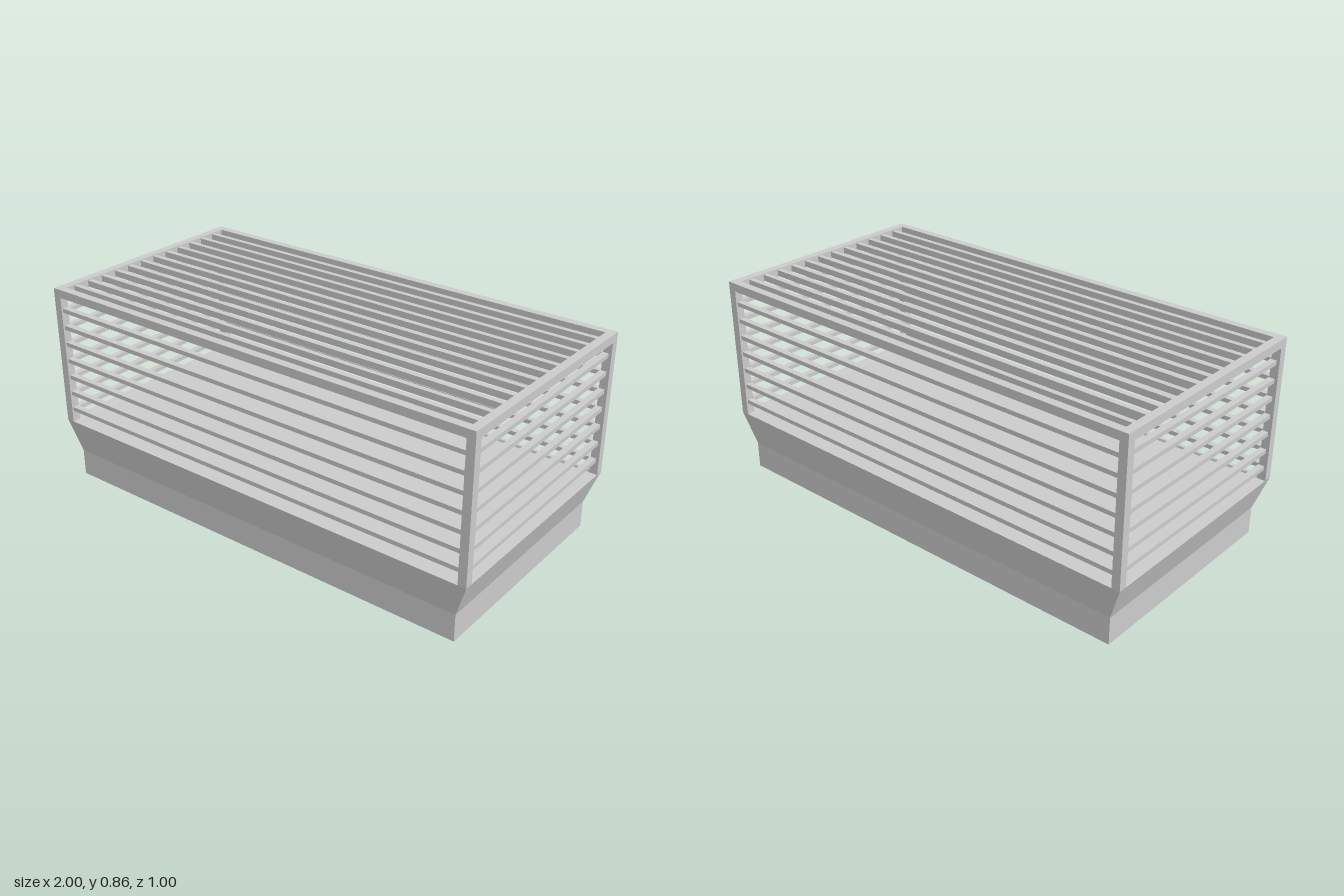
import * as THREE from 'three';

export function createModel() {
  const group = new THREE.Group();
  const material = new THREE.MeshStandardMaterial({ color: 0xcccccc, flatShading: true });

  function add(name, geometry, x = 0, y = 0, z = 0) {
    const mesh = new THREE.Mesh(geometry, material);
    mesh.name = name;
    mesh.position.set(x, y, z);
    group.add(mesh);
    return mesh;
  }
  const box = (name, w, h, d, x, y, z) => add(name, new THREE.BoxGeometry(w, h, d), x, y, z);

  // Tray: four-sided stepped profile with flared rim and shallow filled floor
  const profile = [[0, 0], [0.95, 0], [0.95, 0.115], [1, 0.26], [0.97, 0.26], [0.965, 0.25], [0, 0.25]]
    .map(([r, y]) => new THREE.Vector2(r * Math.SQRT2, y));
  const tray = new THREE.LatheGeometry(profile, 4, Math.PI / 4);
  tray.scale(1, 1, 0.5);
  add('tray', tray);

  // Cage frame: corner posts and top rails
  const bar = 0.035, rim = 0.26, top = 0.86;
  for (const sx of [-1, 1]) {
    for (const sz of [-1, 1]) {
      box('cornerPost', bar, top - bar - rim, bar,
        sx * (1 - bar / 2), (top - bar + rim) / 2, sz * (0.5 - bar / 2));
    }
    box('sideTopRail', bar, bar, 1, sx * (1 - bar / 2), top - bar / 2, 0);
  }
  for (const sz of [-1, 1]) {
    box('longTopRail', 2 - 2 * bar, bar, bar, 0, top - bar / 2, sz * (0.5 - bar / 2));
  }

  // Wall slats; those on the short walls tilt slightly
  const pitch = 0.075, thick = 0.018, deep = 0.026;
  for (let i = 0; i < 7; i++) {
    const y = 0.317 + i * pitch;
    for (const s of [-1, 1]) {
      box('longWallSlat', 1.94, thick, deep, 0, y, s * 0.48);
      box('shortWallSlat', deep, thick, 0.94, s * 0.975, y, 0).rotation.x = 0.009;
    }
  }

  // Roof slats
  for (let i = 0; i < 12; i++) {
    box('roofSlat', 1.94, deep, 0.022, 0, top - 0.018, (i - 5.5) * pitch);
  }
  return group;
}
